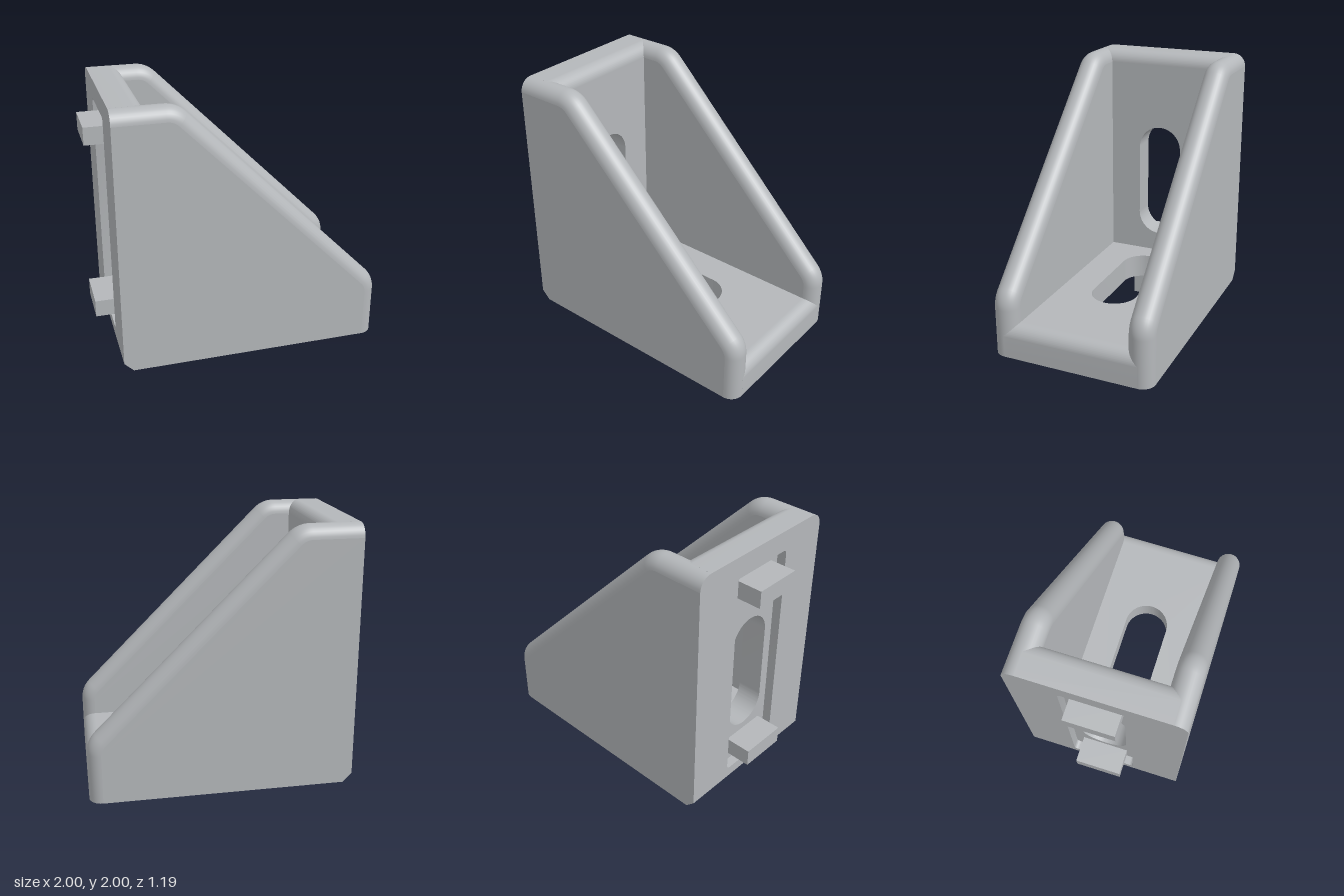
import * as THREE from 'three';
import { toCreasedNormals, mergeGeometries } from 'three/addons/utils/BufferGeometryUtils.js';

const L = 1.875;        // length of each leg
const T = 0.245;        // plate thickness
const CH = 0.065;       // recess depth and heel chamfer
const EDGE = 0.09;      // rounding of the plate ends
const HALF = 0.5;       // plate half width, ending inside the side walls
const WALL_R = 0.0925;  // half the side wall thickness
const WALL_Z = 0.5025;  // side wall centre

// Outline of a side wall, its open edges drawn in by off
function wallOutline(off) {
  const R = 0.2, corner = 0.435, t = R * Math.tan(Math.PI / 8), n = 8;
  const pts = [[CH, 0], [L - off, 0]];
  const arc = (cx, cy, from) => {
    for (let i = 0; i <= n; i++) {
      const a = from + (i / n) * Math.PI / 4;
      pts.push([cx + (R - off) * Math.cos(a), cy + (R - off) * Math.sin(a)]);
    }
  };
  arc(L - R, corner - t, 0);
  arc(corner - t, L - R, Math.PI / 4);
  pts.push([0, L - off], [0, CH]);
  return pts.map(([x, y]) => new THREE.Vector2(x, y));
}

function indexed(positions, index) {
  const g = new THREE.BufferGeometry();
  g.setAttribute('position', new THREE.Float32BufferAttribute(positions, 3));
  g.setIndex(index);
  return g;
}

// Triangular wall with a full round along its top, slope and front edges
function wallGeometry() {
  const steps = 16, pos = [], index = [];
  let count = 0;
  for (let k = 0; k <= steps; k++) {
    const a = (k / steps - 0.5) * Math.PI;
    const ring = wallOutline(WALL_R * (1 - Math.cos(a)));
    count = ring.length;
    for (const p of ring) pos.push(p.x, p.y, WALL_R * Math.sin(a));
  }
  for (let k = 0; k < steps; k++) {
    for (let i = 0; i < count; i++) {
      const j = (i + 1) % count;
      const a = k * count + i, b = k * count + j;
      index.push(a, b, b + count, a, b + count, a + count);
    }
  }
  const sides = toCreasedNormals(indexed(pos, index), 0.5);

  const face = wallOutline(WALL_R);
  const capPos = [], capIndex = [];
  for (const z of [-WALL_R, WALL_R]) for (const p of face) capPos.push(p.x, p.y, z);
  for (const [a, b, c] of THREE.ShapeUtils.triangulateShape(face, [])) {
    capIndex.push(c, b, a, a + count, b + count, c + count);
  }
  const caps = indexed(capPos, capIndex).toNonIndexed();
  caps.computeVertexNormals();
  return mergeGeometries([sides, caps]);
}

// Rectangle in plan: u along the leg, z across it
function rect(u0, u1, hz) {
  return new THREE.Shape([[u0, -hz], [u1, -hz], [u1, hz], [u0, hz]]
    .map(([x, y]) => new THREE.Vector2(x, y)));
}

// Hole with rounded corners of radius r
function roundHole(u0, u1, hz, r) {
  const h = new THREE.Path();
  h.absarc(u1 - r, hz - r, r, 0, Math.PI / 2);
  h.absarc(u0 + r, hz - r, r, Math.PI / 2, Math.PI);
  h.absarc(u0 + r, r - hz, r, Math.PI, Math.PI * 1.5);
  h.absarc(u1 - r, r - hz, r, Math.PI * 1.5, Math.PI * 2);
  h.closePath();
  return h;
}

// Plate layer between depths d0 and d1
function layer(shape, d0, d1) {
  const g = new THREE.ExtrudeGeometry(shape, { depth: d1 - d0, bevelEnabled: false, curveSegments: 16 });
  g.rotateX(-Math.PI / 2).translate(0, d0, 0);
  return toCreasedNormals(g, 0.5);
}

// Profile extruded across the full plate width
function across(shape) {
  const g = new THREE.ExtrudeGeometry(shape, { depth: 2 * HALF, bevelEnabled: false, curveSegments: 16 });
  return toCreasedNormals(g.translate(0, 0, -HALF), 0.5);
}

export function createModel() {
  const model = new THREE.Group();
  model.name = 'cornerBracket';
  const grey = new THREE.MeshStandardMaterial({ color: 0xb4b7ba });
  grey.name = 'grey';

  const add = (parent, name, geometry) => {
    const m = new THREE.Mesh(geometry, grey);
    m.name = name;
    parent.add(m);
    return m;
  };

  const body = new THREE.Group();
  body.name = 'body';
  body.position.set(-0.875, 0.125, 0);
  model.add(body);

  // Side walls
  const wall = wallGeometry();
  add(body, 'leftSideWall', wall).position.z = WALL_Z;
  add(body, 'rightSideWall', wall).position.z = -WALL_Z;

  // Chamfered heel where the two plates meet
  const heel = new THREE.BoxGeometry(T - CH, T - CH, 2 * HALF);
  heel.translate((T + CH) / 2, (T + CH) / 2, 0);
  add(body, 'heelBlock', heel);
  add(body, 'heelChamfer', across(new THREE.Shape([
    new THREE.Vector2(CH, 0), new THREE.Vector2(CH, CH), new THREE.Vector2(0, CH)])));

  // Slotted plate with a recessed outer face, rounded end and two locating tabs
  const recessed = rect(CH, L - EDGE, HALF);
  recessed.holes.push(roundHole(0.14, 1.73, 0.24, 0.03));
  const slotted = rect(T, L - EDGE, HALF);
  slotted.holes.push(roundHole(0.395, 1.29, 0.17, 0.1699));
  const end = new THREE.Shape();
  end.moveTo(L - EDGE, 0);
  end.lineTo(L, 0);
  end.lineTo(L, T - EDGE);
  end.absarc(L - EDGE, T - EDGE, EDGE, 0, Math.PI / 2);
  end.closePath();

  const makePlate = (name) => {
    const plate = new THREE.Group();
    plate.name = name;
    add(plate, 'recessFrame', layer(recessed, 0, CH));
    add(plate, 'slottedPlate', layer(slotted, CH, T));
    add(plate, 'roundedEnd', across(end));
    for (const u of [0.28, 1.593]) {
      const tab = add(plate, 'locatingTab', new THREE.BoxGeometry(0.125, 0.125 + CH, 0.345));
      tab.position.set(u, (CH - 0.125) / 2, 0);
    }
    body.add(plate);
    return plate;
  };
  makePlate('basePlate');
  // Half turn about the diagonal swaps the two legs
  makePlate('backPlate').quaternion.setFromAxisAngle(new THREE.Vector3(1, 1, 0).normalize(), Math.PI);

  return model;
}
